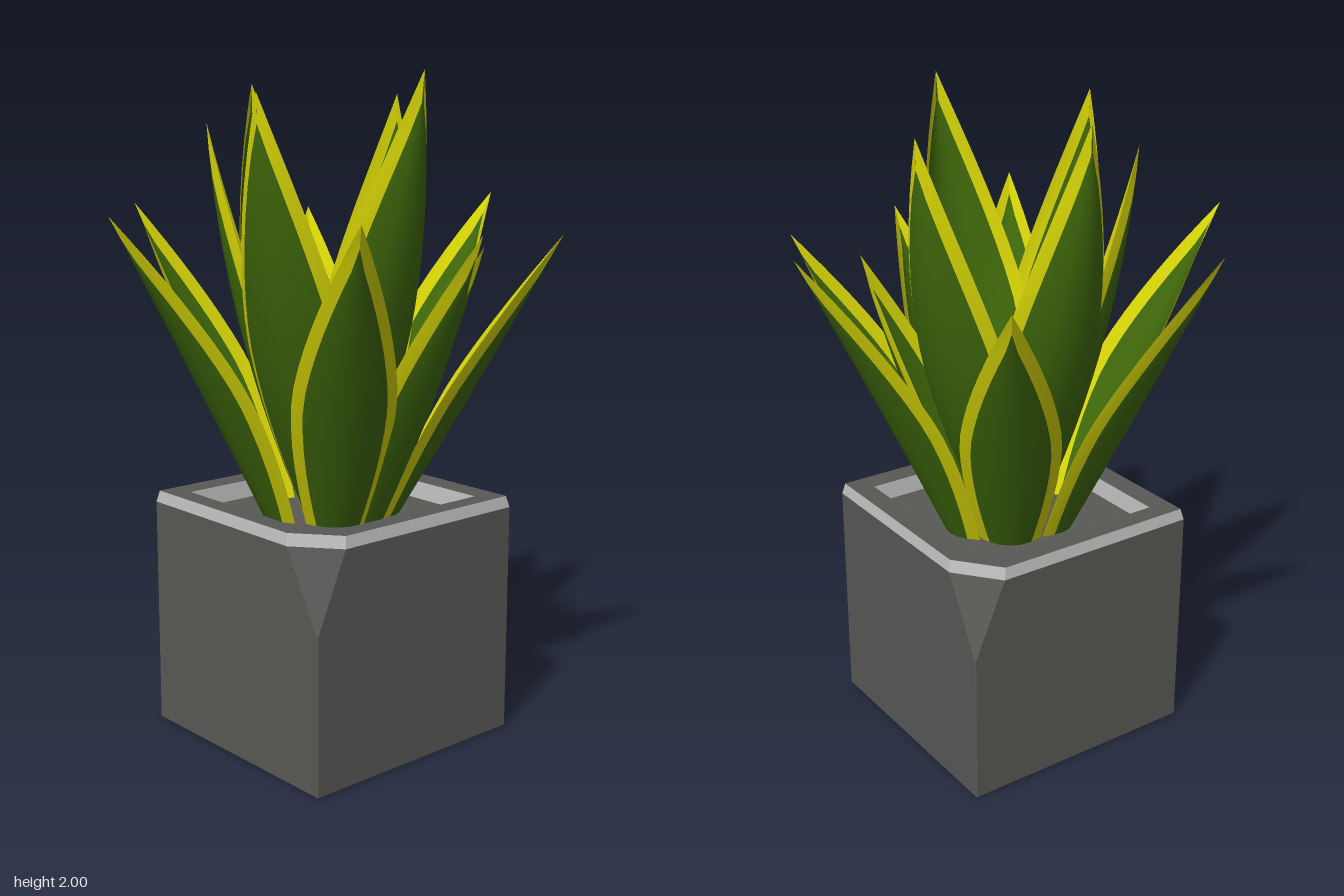
import * as THREE from 'three';

const mat = (name, color, side = THREE.FrontSide) => {
  const m = new THREE.MeshStandardMaterial({ color, side });
  m.name = name;
  return m;
};

// Square ring with two opposite corners cut off by c
function ring(y, inset, c) {
  const x = 0.385 - inset, z = 0.38 - inset, cx = -0.01, cz = 0.015;
  return [[-x + c * 0.8, z], [x, z], [x, -z + c], [x - c * 0.8, -z], [-x, -z], [-x, z - c]]
    .map(([px, pz]) => new THREE.Vector3(px + cx, y, pz + cz));
}

// Flat-shaded skin through successive rings, optionally closed at either end
function skin(name, material, rings, capFirst = false, capLast = false) {
  const pts = [];
  for (let r = 0; r < rings.length - 1; r++) {
    const a = rings[r], b = rings[r + 1];
    for (let i = 0; i < a.length; i++) {
      const j = (i + 1) % a.length;
      pts.push(a[i], a[j], b[j], a[i], b[j], b[i]);
    }
  }
  const first = rings[0], last = rings[rings.length - 1];
  for (let i = 1; i < first.length - 1; i++) {
    if (capFirst) pts.push(first[0], first[i + 1], first[i]);
    if (capLast) pts.push(last[0], last[i], last[i + 1]);
  }
  const geo = new THREE.BufferGeometry().setFromPoints(pts);
  geo.computeVertexNormals();
  const mesh = new THREE.Mesh(geo, material);
  mesh.name = name;
  return mesh;
}

// Cupped, pointed leaf from the pot centre to a tip, with a yellow margin
function leaf(tip, halfWidth, baseRadius, bulge, { margin, cup }, materials) {
  const dir = new THREE.Vector3(tip.x, 0, tip.z).normalize();
  const side = new THREE.Vector3(dir.z, 0, -dir.x);
  const base = dir.clone().multiplyScalar(baseRadius).setY(0.6);
  const mid = base.clone().lerp(tip, 0.5).addScaledVector(dir, bulge);
  const spine = new THREE.QuadraticBezierCurve3(base, mid, tip);
  const rows = 16, cols = 7, pos = [], green = [], yellow = [];

  for (let i = 0; i <= rows; i++) {
    const t = i / rows, peak = 0.45;
    const k = t < peak
      ? 0.5 + 0.5 * Math.sin((t / peak) * Math.PI / 2)
      : 1 - Math.pow((t - peak) / (1 - peak), 1.5);
    const w = Math.max(halfWidth * k, 0.0005);
    const e = Math.max(0, 1 - margin / w); // where the margin starts
    const p = spine.getPoint(t);
    const inward = spine.getTangent(t).cross(side).normalize();
    if (inward.dot(dir) > 0) inward.negate();
    for (const u of [-1, -e, -e / 2, 0, e / 2, e, 1]) {
      const v = p.clone().addScaledVector(side, u * w).addScaledVector(inward, cup * u * u * w);
      pos.push(v.x, v.y, v.z);
    }
  }
  for (let i = 0; i < rows; i++) {
    for (let j = 0; j < cols - 1; j++) {
      const a = i * cols + j, b = a + cols;
      (j === 0 || j === cols - 2 ? yellow : green).push(a, a + 1, b + 1, a, b + 1, b);
    }
  }
  const geo = new THREE.BufferGeometry();
  geo.setAttribute('position', new THREE.Float32BufferAttribute(pos, 3));
  geo.setIndex([...green, ...yellow]);
  geo.addGroup(0, green.length, 0);
  geo.addGroup(green.length, yellow.length, 1);
  geo.computeVertexNormals();
  return new THREE.Mesh(geo, materials);
}

export function createModel() {
  const model = new THREE.Group();
  model.name = 'pottedPlant';
  const stone = mat('dark stone', 0x585855);
  const edge = mat('pale rim edge', 0xbababa);
  const leafMats = [
    mat('leaf green', 0x3f680a, THREE.DoubleSide),
    mat('leaf yellow', 0xd8d606, THREE.DoubleSide),
  ];

  // Pot
  const pot = new THREE.Group();
  pot.name = 'pot';
  const lip = ring(0.745, 0.008, 0.13), inner = ring(0.742, 0.075, 0.1);
  const floor = ring(0.69, 0.085, 0.1);
  pot.add(
    skin('potBody', stone,
      [ring(0, 0.006, 0.004), ring(0.006, 0, 0.004), ring(0.48, 0, 0.004), ring(0.71, 0, 0.13)], true),
    skin('rimEdge', edge, [ring(0.71, 0, 0.13), lip]),
    skin('rimTop', stone, [lip, inner]),
    skin('innerWall', edge, [inner, floor]),
    skin('soil', stone, [floor], false, true),
  );
  model.add(pot);

  // Leaves: tip x, y, z, half width, base radius, outward bulge
  const plant = new THREE.Group();
  plant.name = 'leaves';
  const inside = [
    [0, 2.0, 0.385, 0.185, 0.03, 0.14],
    [-0.01, 1.97, -0.36, 0.185, 0.03, 0.2],
    [-0.405, 1.94, 0.16, 0.165, 0.03, 0.19],
    [0.39, 1.94, -0.13, 0.165, 0.03, 0.2],
    [-0.28, 1.855, -0.23, 0.13, 0.05, 0.12],
    [0.31, 1.5, 0.33, 0.13, 0.1, 0.06],
  ];
  const outside = [
    [0.69, 1.63, 0, 0.145, 0.18, -0.02],
    [-0.69, 1.61, -0.13, 0.14, 0.18, -0.02],
    [-0.31, 1.61, -0.57, 0.145, 0.16, 0.01],
    [0.37, 1.57, -0.54, 0.145, 0.16, 0.01],
    [-0.38, 1.61, 0.55, 0.15, 0.16, 0.01],
    [0.44, 1.54, 0.52, 0.14, 0.16, 0.01],
    [0.05, 1.56, 0.565, 0.125, 0.15, 0.03],
  ];
  const addLeaves = (list, name, form) => list.forEach(([x, y, z, w, r, b], i) => {
    const mesh = leaf(new THREE.Vector3(x, y, z), w, r, b, form, leafMats);
    mesh.name = name + (i + 1);
    plant.add(mesh);
  });
  addLeaves(inside, 'innerLeaf', { margin: 0.027, cup: 0.6 });
  addLeaves(outside, 'outerLeaf', { margin: 0.031, cup: 0.5 });
  model.add(plant);
  return model;
}
